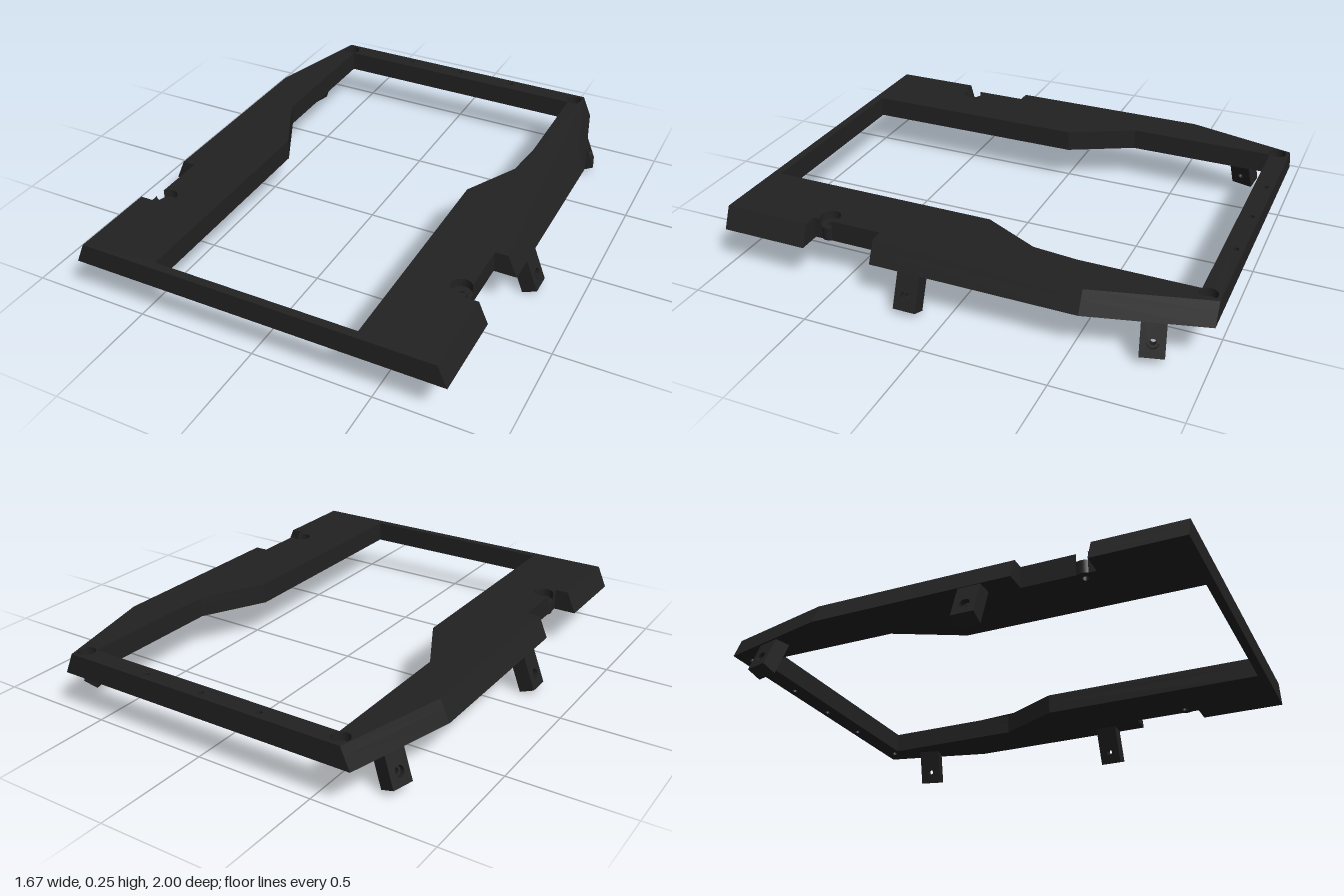
import * as THREE from 'three';

const BOTTOM = 0.165, TOP = 0.255, FLOOR = 0.22; // frame heights; FLOOR = counterbore floor
const SLOPE = 0.444;                              // inward lean of the outer side walls

const mirrored = (half) => [...half, ...half.map(([x, z]) => [-x, z]).reverse()];
const toPath = (pts, Type) => new Type(pts.map(([x, z]) => new THREE.Vector2(x, z)));
const circle = (x, z, r) => new THREE.Path().absarc(x, z, r, 0, Math.PI * 2, true);

// Outer outline of one half; the screw seat breaks through the notch wall.
function halfOutline(open) {
  const seat = { x: 0.655, z: 0.575, r: 0.042 }, start = 0.585;
  const sweep = open ? -2 * (Math.PI - start) : 2 * start;
  const arc = [];
  for (let i = 0; i <= 16; i++) {
    const a = -start + (sweep * i) / 16;
    arc.push([seat.x + seat.r * Math.cos(a), seat.z + seat.r * Math.sin(a)]);
  }
  return [[0.665, -1], [0.785, -0.53], [0.785, 0.33], [0.69, 0.33], ...arc,
    [0.69, 0.63], [0.785, 0.63], [0.785, 1]];
}

// One horizontal layer of the frame, with its outer walls leaning inward.
function frameLayer(y0, y1, open) {
  const shape = toPath(mirrored(halfOutline(open)), THREE.Shape);
  shape.holes.push(toPath(mirrored([[0.57, -0.92], [0.57, -0.295], [0.43, -0.02], [0.43, 0.965]]), THREE.Path));
  for (const x of [-0.265, 0, 0.265]) shape.holes.push(circle(x, -0.968, 0.012));
  for (const s of [-1, 1]) {
    shape.holes.push(circle(s * 0.595, -0.95, open ? 0.037 : 0.015));
    if (!open) shape.holes.push(circle(s * 0.655, 0.575, 0.014));
  }
  const geo = new THREE.ExtrudeGeometry(shape, { depth: y1 - y0, bevelEnabled: false, curveSegments: 16 });
  geo.rotateX(Math.PI / 2).translate(0, y1, 0);
  const p = geo.attributes.position;
  for (let i = 0; i < p.count; i++) {
    const x = p.getX(i), ax = Math.abs(x);
    const outer = ax > 0.75 || (ax > 0.66 && p.getZ(i) < -0.99);
    if (outer) p.setX(i, x - Math.sign(x) * (p.getY(i) - BOTTOM) * SLOPE);
  }
  geo.computeVertexNormals();
  return geo;
}

// Mounting leg: a drilled tab whose origin is its outer bottom edge.
function legGeometry() {
  const w = 0.0475, h = 0.2, t = 0.065;
  const build = (r, z0, z1) => {
    const s = toPath([[-w, 0], [w, 0], [w, h], [-w, h]], THREE.Shape);
    s.holes.push(circle(0, 0.055, r));
    return new THREE.ExtrudeGeometry(s, { depth: z1 - z0, bevelEnabled: false, curveSegments: 12 }).translate(0, 0, z0);
  };
  return [build(0.012, -t, -0.02), build(0.022, -0.02, 0)];
}

export function createModel() {
  const model = new THREE.Group();
  model.name = 'mountingFrame';
  const material = new THREE.MeshStandardMaterial({ color: 0x222222 });
  const add = (parent, geo, name) => {
    const mesh = new THREE.Mesh(geo, material);
    mesh.name = name;
    parent.add(mesh);
  };

  // Frame
  add(model, frameLayer(BOTTOM, FLOOR, false), 'frameBase');
  add(model, frameLayer(FLOOR, TOP, true), 'frameTop');

  // Legs, splayed outward; the rear pair follows the tapered walls
  const [inner, outer] = legGeometry();
  const legs = [
    { name: 'frontLeg', x: 0.835, y: 0.025, z: 0.16, yaw: Math.PI / 2 },
    { name: 'rearLeg', x: 0.757, y: 0.038, z: -0.803, yaw: Math.PI / 2 + 0.25 },
  ];
  for (const { name, x, y, z, yaw } of legs) {
    for (const [s, side] of [[1, 'Left'], [-1, 'Right']]) {
      const leg = new THREE.Group();
      leg.name = name + side;
      add(leg, inner, 'legInner');
      add(leg, outer, 'legOuter');
      leg.rotation.set(-0.37, s * yaw, 0, 'YXZ');
      leg.position.set(s * x, y, z);
      model.add(leg);
    }
  }
  return model;
}
